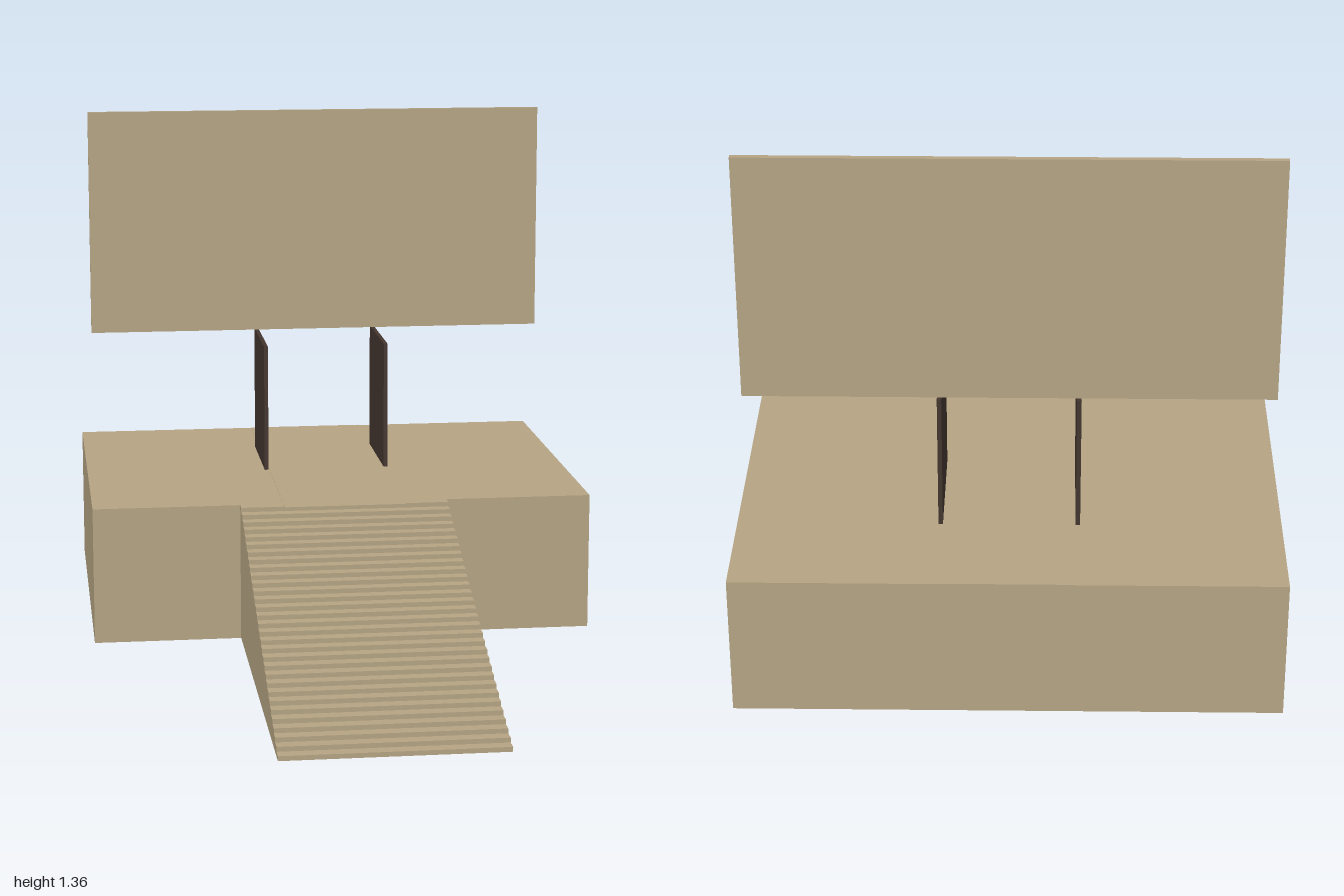
import * as THREE from 'three';

export function createModel() {
  const model = new THREE.Group();
  const sandstone = new THREE.MeshStandardMaterial({ color: 0xb5a483 });
  sandstone.name = 'sandstone';
  const darkBrown = new THREE.MeshStandardMaterial({ color: 0x43352e });
  darkBrown.name = 'dark brown';

  // Box given by its min and max corners
  function box(name, material, [x0, y0, z0], [x1, y1, z1]) {
    const mesh = new THREE.Mesh(new THREE.BoxGeometry(x1 - x0, y1 - y0, z1 - z0), material);
    mesh.position.set((x0 + x1) / 2, (y0 + y1) / 2, (z0 + z1) / 2);
    mesh.name = name;
    model.add(mesh);
  }

  const deck = 0.37;
  const deckFront = -0.018;

  // Raised platform and the thin walkway strip that overhangs the top step
  box('platform', sandstone, [-0.675, 0, -1], [0.675, deck, deckFront]);
  box('walkway', sandstone, [-0.163, deck - 0.005, -1], [0.163, deck + 0.001, 0.025]);

  // Staircase: stepped side profile extruded across its width
  const steps = 31, run = 0.0329, rise = deck / steps, halfWidth = 0.28;
  const profile = new THREE.Shape();
  profile.moveTo(deckFront, 0);
  profile.lineTo(1, 0);
  for (let i = 0; i < steps; i++) {
    const front = 1 - i * run;
    const back = i === steps - 1 ? deckFront : front - run;
    profile.lineTo(front, (i + 1) * rise);
    profile.lineTo(back, (i + 1) * rise);
  }
  const stairGeometry = new THREE.ExtrudeGeometry(profile, { depth: halfWidth * 2, bevelEnabled: false });
  stairGeometry.rotateY(-Math.PI / 2); // profile x becomes z
  stairGeometry.translate(halfWidth, 0, 0);
  const stairs = new THREE.Mesh(stairGeometry, sandstone);
  stairs.name = 'stairs';
  model.add(stairs);

  // Upright support slabs
  for (const [name, x] of [['leftSupport', 0.17], ['rightSupport', -0.17]]) {
    box(name, darkBrown, [x - 0.0055, deck, -0.735], [x + 0.0055, 0.725, -0.43]);
  }

  // Large board standing on the supports
  box('board', sandstone, [-0.65, 0.725, -0.722], [0.65, 1.362, -0.708]);

  return model;
}
